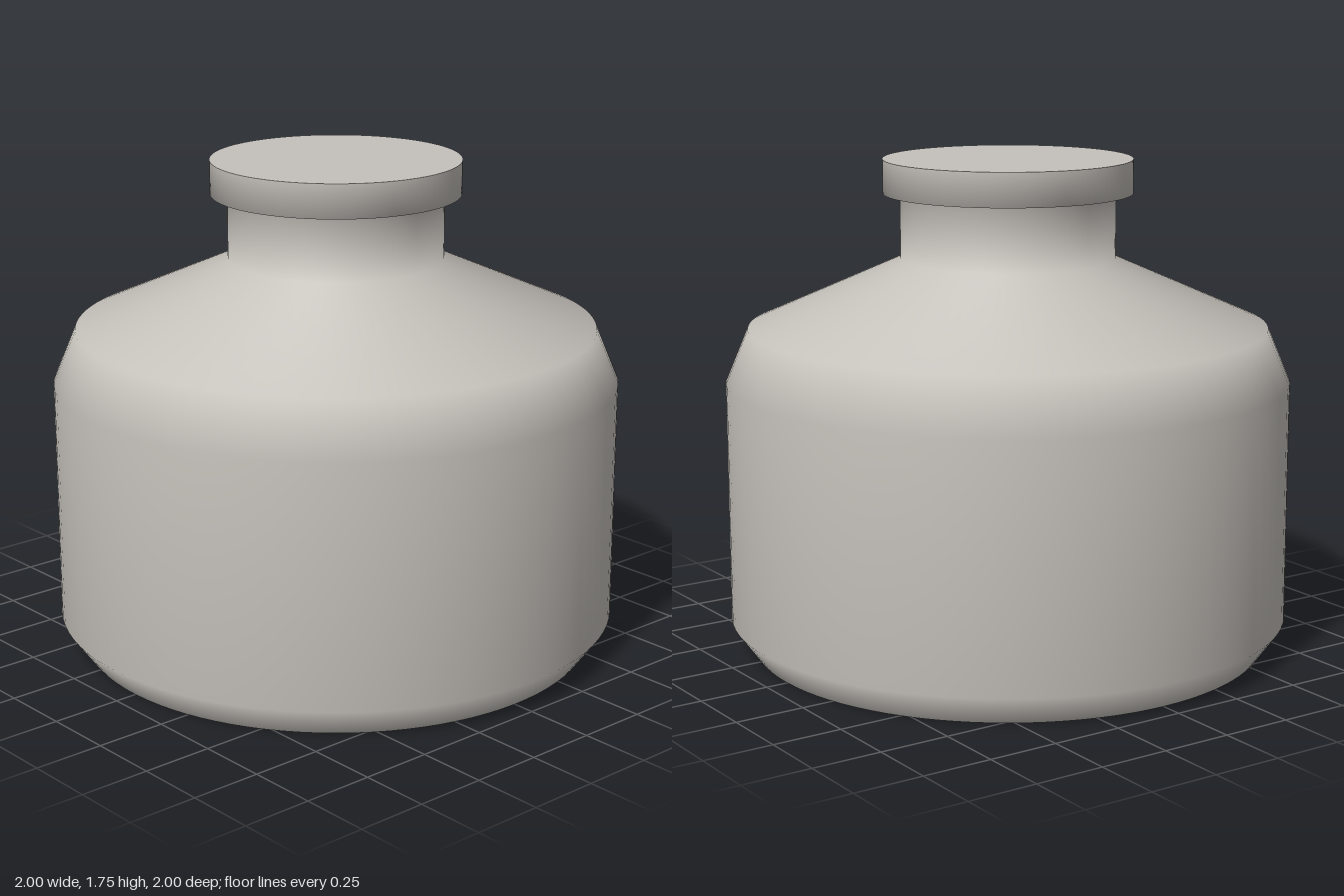
import * as THREE from 'three';

const SEGMENTS = 96;

export function createModel() {
  const model = new THREE.Group();
  model.name = 'bottle';

  const stone = new THREE.MeshStandardMaterial({ color: 0xc4c0ba });
  stone.name = 'warm grey';

  const add = (name, geometry) => {
    const mesh = new THREE.Mesh(geometry, stone);
    mesh.name = name;
    model.add(mesh);
    return mesh;
  };

  // Smooth turned shell: base chamfer, wall, shoulder, neck and lip
  const profile = [
    [0.92, 0], [1, 0.11], [1, 0.97], [0.92, 1.16],
    [0.38, 1.4], [0.38, 1.63], [0.44, 1.63], [0.44, 1.75],
  ].map(([r, y]) => new THREE.Vector2(r, y));
  add('bottleShell', new THREE.LatheGeometry(profile, SEGMENTS));

  // Flat closing faces
  const base = add('base', new THREE.CircleGeometry(0.92, SEGMENTS));
  base.rotation.x = Math.PI / 2;

  const top = add('lidTop', new THREE.CircleGeometry(0.44, SEGMENTS));
  top.rotation.x = -Math.PI / 2;
  top.position.y = 1.75;

  return model;
}
